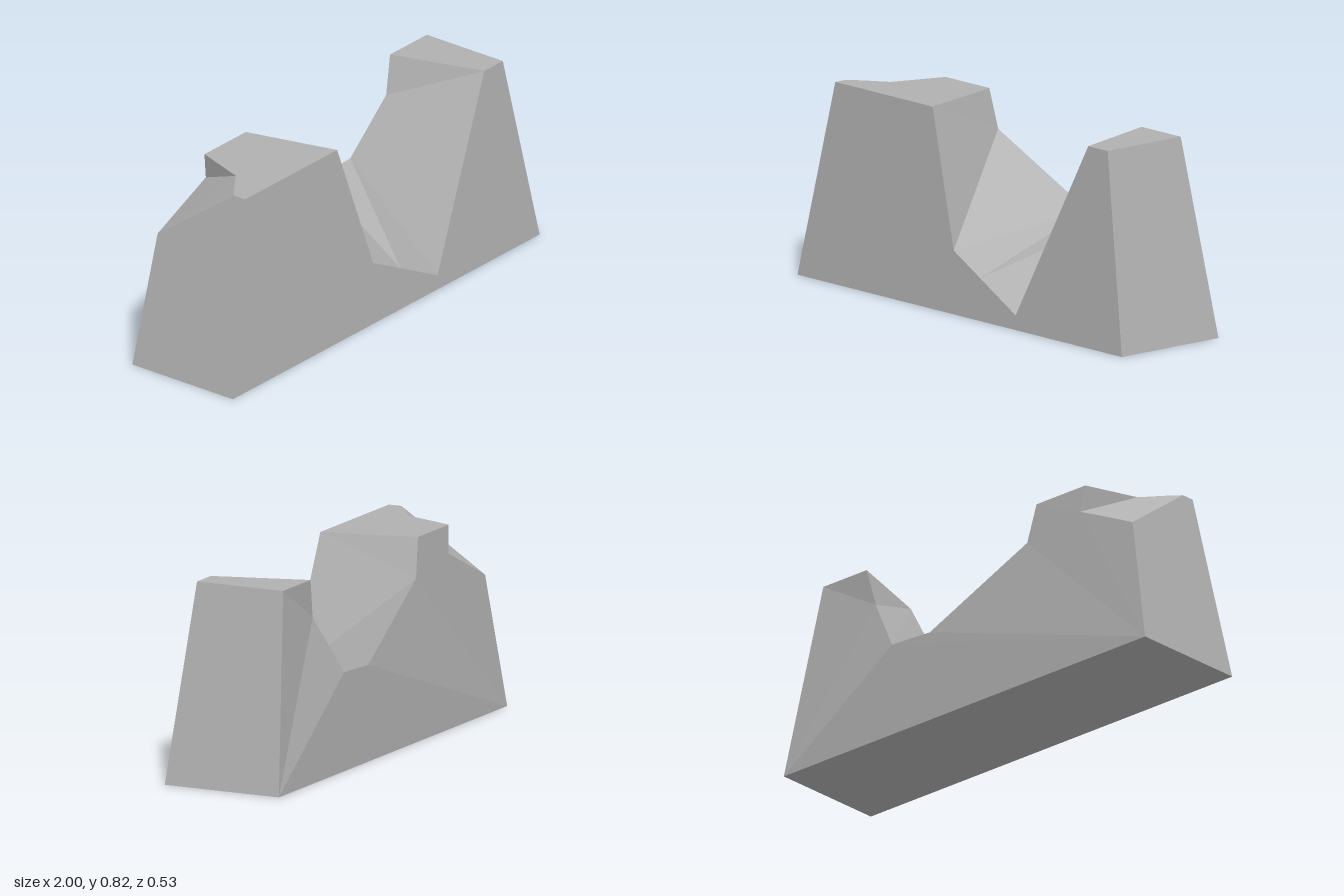
import * as THREE from 'three';

const TOP = 0.825;

// The battered front and back lean inward as they rise.
const lean = (y) => 0.263 - 0.078 * y;
const front = (x, y) => [x, y, lean(y)];
const back = (x, y, z = -lean(y)) => [x, y, z];

// Corners along the front face, left to right
const F = {
  foot0: front(-1, 0), top0: front(-0.84, TOP), top1: front(-0.24, TOP),
  gap0: front(-0.06, 0.26), gap1: front(0.11, 0.175), gap2: front(0.34, 0.06),
  top2: front(0.72, TOP), top3: front(0.84, TOP), foot1: front(1, 0),
};

// Corners along the back face, left to right
const B = {
  foot0: back(-1, 0), top1: back(-0.34, TOP), gap0: back(-0.3, 0.66, -0.211),
  gap1: back(0.2, 0.4, -0.254), gap2: back(0.41, 0.41, -0.254),
  ledge: back(0.56, 0.66, -0.187), top2: back(0.6, TOP),
  top3: back(0.84, TOP), foot1: back(1, 0),
};

// Chipped rear corner of the tall left block
const N = {
  rim0: [-0.84, TOP, 0.14], rim1: [-0.79, TOP, 0.1], rim2: [-0.69, TOP, 0.03],
  rim3: back(-0.61, TOP), inner: back(-0.59, 0.71), outer: back(-0.89, 0.565),
};

// Each part is a list of polygons, fanned from their first corner
const parts = {
  frontFace: [
    [F.foot0, F.gap0, F.top1, F.top0],
    [F.foot0, F.gap2, F.gap1, F.gap0],
    [F.foot0, F.foot1, F.gap2],
    [F.foot1, F.top3, F.top2, F.gap2],
  ],
  backFace: [
    [B.foot1, B.foot0, B.gap2],
    [B.foot0, B.gap1, B.gap2],
    [B.foot0, B.gap0, B.gap1],
    [B.foot0, N.outer, N.inner, B.gap0],
    [N.inner, N.rim3, B.top1, B.gap0],
    [B.foot1, B.gap2, B.ledge],
    [B.foot1, B.ledge, B.top3],
    [B.top3, B.ledge, B.top2],
  ],
  base: [[F.foot0, B.foot0, B.foot1, F.foot1]],
  ends: [
    [F.foot1, B.foot1, B.top3, F.top3],
    [B.foot0, F.foot0, F.top0, N.rim0, N.outer],
  ],
  tops: [
    [F.top1, B.top1, N.rim3, N.rim2, N.rim1, N.rim0, F.top0],
    [F.top2, F.top3, B.top3, B.top2],
  ],
  chippedCorner: [
    [N.outer, N.rim0, N.rim1, N.rim2, N.inner],
    [N.rim2, N.rim3, N.inner],
  ],
  brokenGap: [
    [F.top1, F.gap0, B.gap0, B.top1],
    [F.gap0, F.gap1, B.gap1, B.gap0],
    [F.gap1, F.gap2, B.gap2, B.gap1],
    [F.top2, B.ledge, B.gap2, F.gap2],
    [F.top2, B.top2, B.ledge],
  ],
};

function facets(polygons) {
  const positions = [];
  for (const p of polygons) {
    for (let i = 1; i < p.length - 1; i++) positions.push(...p[0], ...p[i], ...p[i + 1]);
  }
  const geometry = new THREE.BufferGeometry();
  geometry.setAttribute('position', new THREE.Float32BufferAttribute(positions, 3));
  geometry.computeVertexNormals();
  return geometry;
}

export function createModel() {
  const stone = new THREE.MeshStandardMaterial({ color: 0xb0b0b0 });
  stone.name = 'stone grey';
  const wall = new THREE.Group();
  wall.name = 'brokenWall';
  for (const [name, polygons] of Object.entries(parts)) {
    const mesh = new THREE.Mesh(facets(polygons), stone);
    mesh.name = name;
    wall.add(mesh);
  }
  return wall;
}
